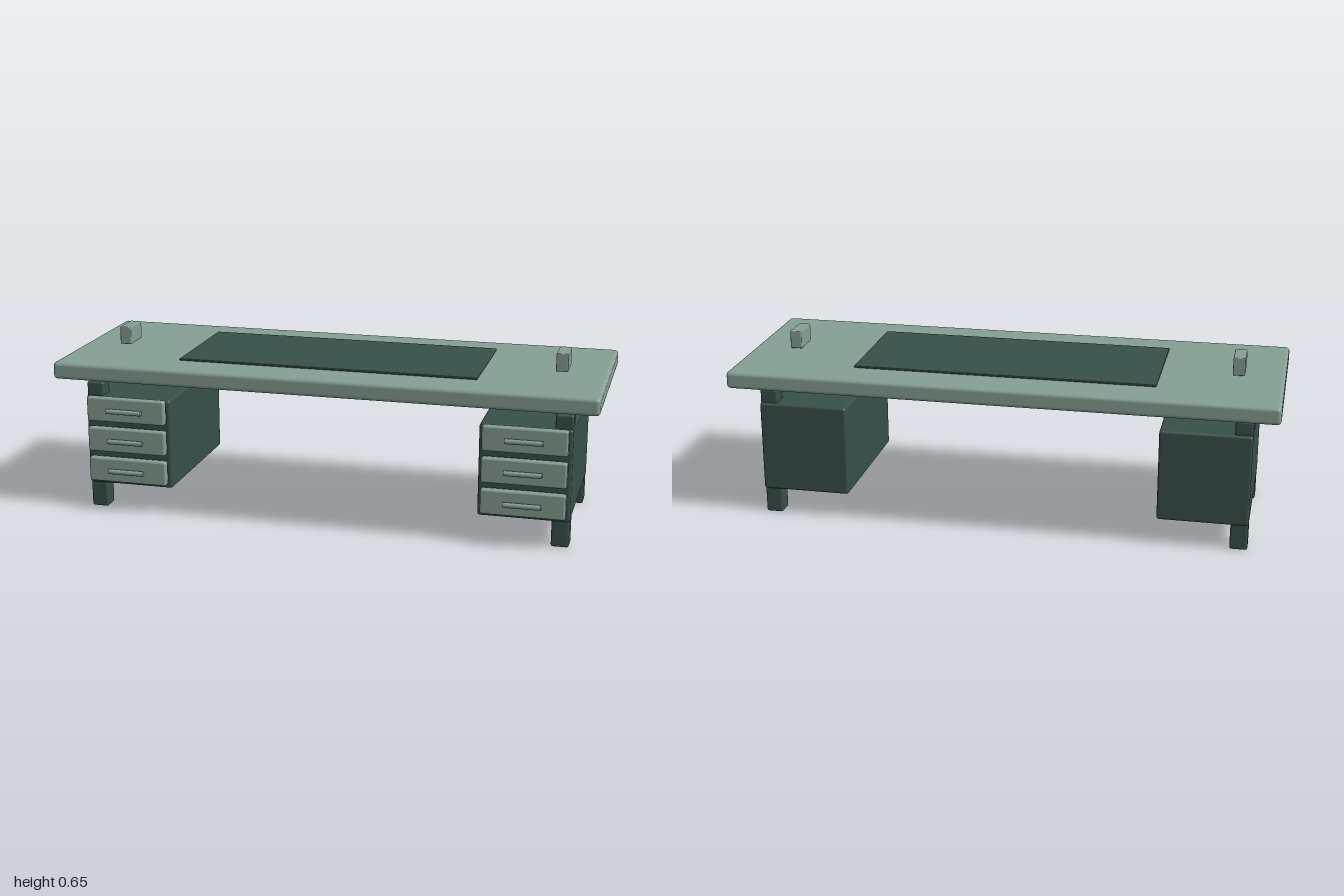
import * as THREE from 'three';
import { RoundedBoxGeometry } from 'three/addons/geometries/RoundedBoxGeometry.js';

const light = new THREE.MeshStandardMaterial({ color: 0x869f94 });
const dark = new THREE.MeshStandardMaterial({ color: 0x38504a });

// Rounded box given by its size, its centre and the radius of its edges
function block(name, material, [w, h, d], [x, y, z], radius) {
  const mesh = new THREE.Mesh(new RoundedBoxGeometry(w, h, d, 2, radius), material);
  mesh.name = name;
  mesh.position.set(x, y, z);
  return mesh;
}

// Cabinet with two outer legs and three drawers; side is +1 or -1
function pedestal(side) {
  const group = new THREE.Group();
  group.name = side > 0 ? 'leftPedestal' : 'rightPedestal';
  group.add(block('cabinet', dark, [0.33, 0.341, 0.564], [side * 0.741, 0.268, 0], 0.01));

  for (const z of [0.241, -0.239]) {
    group.add(block(z > 0 ? 'frontLeg' : 'backLeg', dark,
      [0.064, 0.489, 0.065], [side * 0.873, 0.2445, z], 0.008));
  }

  for (const y of [0.161, 0.278, 0.395]) {
    group.add(block('drawer', light, [0.303, 0.093, 0.031], [side * 0.741, y, 0.2985], 0.008));
    const handle = new THREE.Mesh(new THREE.CylinderGeometry(0.0095, 0.0095, 0.135, 16), light);
    handle.name = 'drawerHandle';
    handle.rotation.z = Math.PI / 2;
    handle.position.set(side * 0.741, y, 0.328);
    group.add(handle);
  }
  return group;
}

export function createModel() {
  const desk = new THREE.Group();
  desk.name = 'desk';

  // Table top and the writing mat on it
  desk.add(block('tableTop', light, [2, 0.064, 0.72], [0, 0.546, 0], 0.015));
  desk.add(block('writingMat', dark, [1.11, 0.008, 0.444], [0, 0.583, 0], 0.003));

  // Mirrored pedestals and small blocks on the top
  for (const side of [-1, 1]) {
    desk.add(pedestal(side));
    desk.add(block('deskBlock', light, [0.044, 0.067, 0.111], [side * 0.833, 0.618, 0], 0.004));
  }
  return desk;
}
